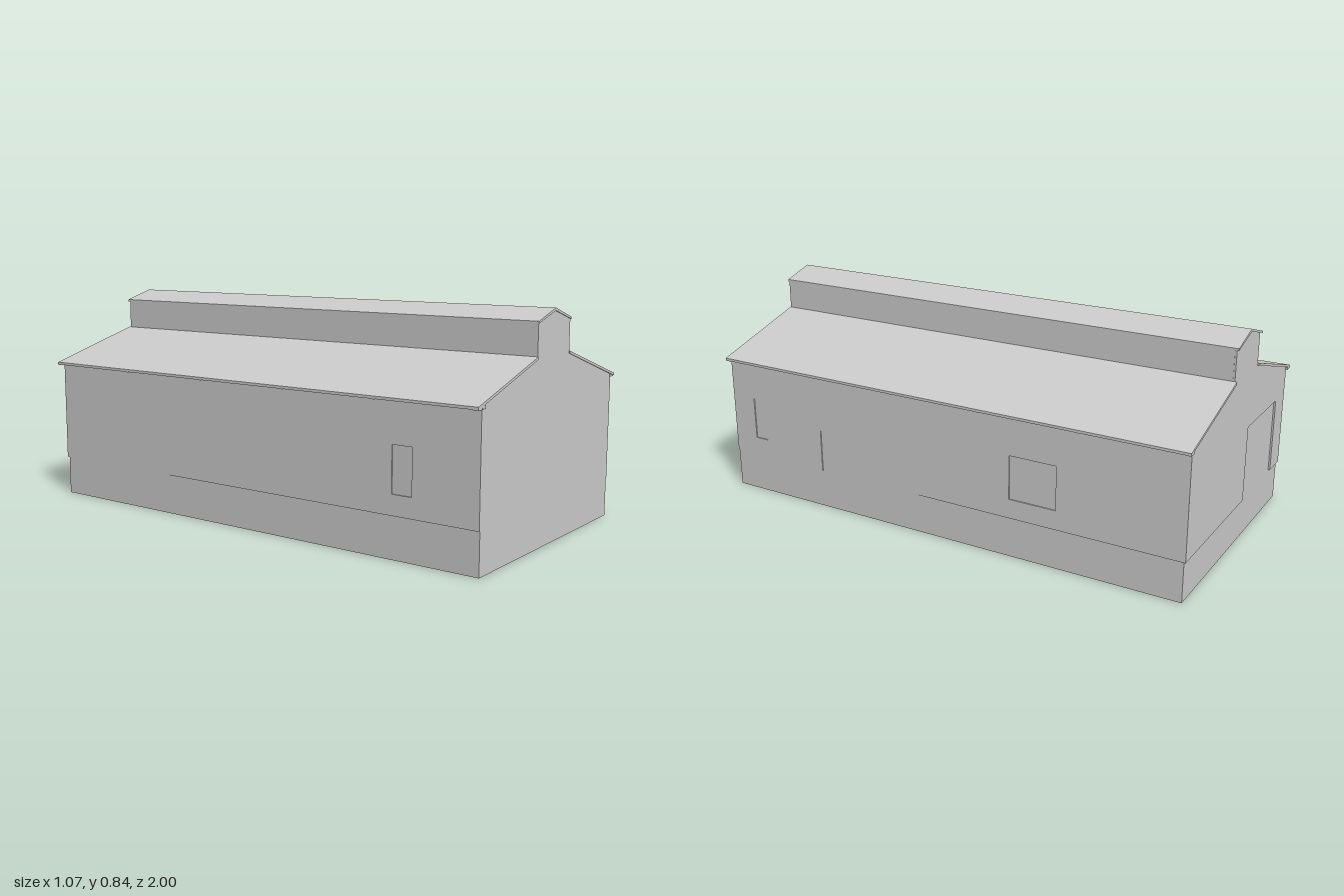
import * as THREE from 'three';

export function createModel() {
  const model = new THREE.Group();
  const grey = new THREE.MeshStandardMaterial({ color: 0xcccccc });
  grey.name = 'light grey';

  const add = (name, geometry, x = 0, y = 0, z = 0) => {
    const mesh = new THREE.Mesh(geometry, grey);
    mesh.name = name;
    mesh.position.set(x, y, z);
    model.add(mesh);
    return mesh;
  };
  const outline = (points) => new THREE.Shape(points.map(([x, y]) => new THREE.Vector2(x, y)));
  const extrude = (shape, depth) => new THREE.ExtrudeGeometry(shape, { depth, bevelEnabled: false });
  const mirrored = (half) => [...half, ...half.map(([x, y]) => [-x, y]).reverse()];

  // Hall body with the raised ridge monitor
  const body = mirrored([[0.502, 0], [0.502, 0.562], [0.125, 0.675], [0.125, 0.8], [0.001, 0.836]]);
  add('hallBody', extrude(outline(body), 1.982), 0, 0, -0.985);

  // Back cladding above the plinth, cut out around the gate
  const backCladding = [
    [0.506, 0.155], [0.506, 0.56], [0.124, 0.676], [0.124, 0.8], [0, 0.836], [-0.124, 0.8],
    [-0.124, 0.676], [-0.506, 0.56], [-0.506, 0.155], [-0.4, 0.155], [-0.4, 0.45],
    [-0.07, 0.45], [-0.07, 0.155],
  ];
  add('backCladding', extrude(outline(backCladding), 0.007), 0, 0, -0.992);

  // Side cladding with window openings [z from, z to] and an optional door notch
  const cladding = (name, x, windows, door) => {
    const points = [[-0.99, 0.155]];
    if (door) points.push([door[0], 0.155], [door[0], 0.325], [door[1], 0.325], [door[1], 0.155]);
    points.push([0.997, 0.155], [0.997, 0.56], [-0.99, 0.56]);
    const shape = outline(points);
    for (const [a, b] of windows) {
      shape.holes.push(outline([[a, 0.23], [a, 0.4], [b, 0.4], [b, 0.23]]));
    }
    add(name, extrude(shape, 0.004), x).rotation.y = -Math.PI / 2;
  };
  cladding('leftCladding', 0.506, [[-0.5, -0.31], [0.83, 0.89]], [0.42, 0.55]);
  cladding('rightCladding', -0.502, [[0.66, 0.74]]);

  // Roof slabs and rafter ends on both sides
  for (const s of [1, -1]) {
    const slope = [[0.124, 0.683], [0.124, 0.673], [0.533, 0.552], [0.533, 0.562]];
    const cap = [[0, 0.843], [0, 0.833], [0.128, 0.796], [0.128, 0.804]];
    const side = (points) => outline(points.map(([x, y]) => [x * s, y]));
    add('mainRoof', extrude(side(slope), 2), 0, 0, -1);
    add('ridgeRoof', extrude(side(cap), 2), 0, 0, -1);
    for (let i = 0; i < 6; i++) {
      const z = -0.988 + i * 0.3952;
      add('rafterEnd', new THREE.BoxGeometry(0.03, 0.01, 0.022), s * 0.515, 0.555, z);
    }
  }

  // Purlin end showing on the front gable
  add('purlinEnd', new THREE.BoxGeometry(0.02, 0.012, 0.01), -0.495, 0.557, 0.995);

  return model;
}
